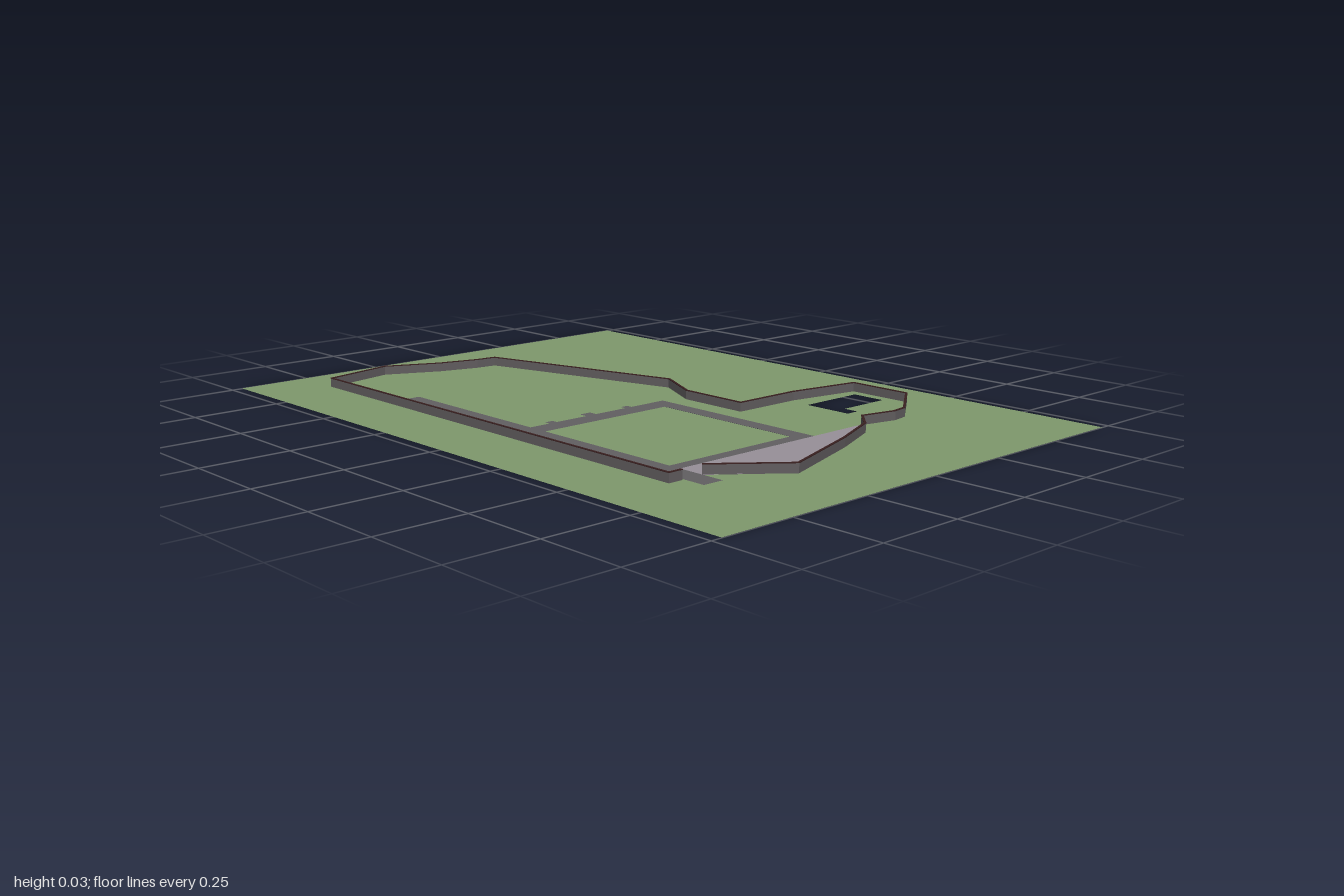
import * as THREE from 'three';

const GROUND_Y = 0.001, PAVING_Y = 0.002, WALL_TOP = 0.028;

// Plan outlines are [x, z]; shapes are drawn in (x, -z) and laid flat.
const toPoints = (outline) => outline.map(([x, z]) => new THREE.Vector2(x, -z));
const rect = (x0, x1, z0, z1) => [[x0, z0], [x0, z1], [x1, z1], [x1, z0]];

function addMesh(parent, name, geometry, color) {
  const material = new THREE.MeshStandardMaterial({ color, side: THREE.DoubleSide });
  const mesh = new THREE.Mesh(geometry, material);
  mesh.name = name;
  parent.add(mesh);
}

function flat(outline, y, holes = []) {
  const shape = new THREE.Shape(toPoints(outline));
  shape.holes = holes.map((h) => new THREE.Path(toPoints(h)));
  return new THREE.ShapeGeometry(shape).rotateX(-Math.PI / 2).translate(0, y, 0);
}

// Mitred strip of constant width along an open path, raised from y0 to y1
function strip(path, width, y0, y1) {
  const pts = toPoints(path);
  const normals = pts.slice(1).map((p, i) => {
    const d = p.clone().sub(pts[i]).normalize();
    return new THREE.Vector2(-d.y, d.x);
  });
  const offsets = pts.map((p, i) => {
    const a = normals[Math.max(i - 1, 0)], b = normals[Math.min(i, normals.length - 1)];
    const m = a.clone().add(b).normalize();
    return m.multiplyScalar(width / 2 / m.dot(a));
  });
  const left = pts.map((p, i) => p.clone().add(offsets[i]));
  const right = pts.map((p, i) => p.clone().sub(offsets[i])).reverse();
  const shape = new THREE.Shape([...left, ...right]);
  return new THREE.ExtrudeGeometry(shape, { depth: y1 - y0, bevelEnabled: false })
    .rotateX(-Math.PI / 2).translate(0, y0, 0);
}

export function createModel() {
  const model = new THREE.Group();
  model.name = 'walledSite';

  const forecourt = [[-0.405, 0.545], [0.272, 0.547], [0.21, 0.608], [0.05, 0.674], [-0.222, 0.764], [-0.405, 0.62]];
  const pit = [[0.345, 0.287], [0.345, 0.435], [0.385, 0.435], [0.385, 0.39], [0.55, 0.39], [0.55, 0.287]];
  const wideRoad = rect(-0.51, -0.403, -0.545, 0.222);

  // Lawn, cut out at the pit and beneath the deeper paved areas
  addMesh(model, 'lawn', flat(rect(-0.72, 0.72, -1, 1), GROUND_Y,
    [pit, wideRoad, rect(0.032, 0.078, 0.03, 0.54), forecourt]), 0x7f996c);

  // Roads and paths around the inner court
  const roads = new THREE.Group();
  roads.name = 'roads';
  model.add(roads);
  const paving = {
    wideRoad,
    gateRoad: rect(-0.465, -0.403, 0.222, 0.69),
    backPath: rect(-0.403, 0.08, -0.03, 0.032),
    sidePath: rect(0.03, 0.08, 0.032, 0.547),
    frontPath: rect(-0.403, 0.03, 0.508, 0.547),
  };
  for (const [name, outline] of Object.entries(paving)) addMesh(roads, name, flat(outline, PAVING_Y), 0x626062);

  // Small steps projecting from the back path
  for (const [x, w, z] of [[-0.325, 0.026, -0.049], [-0.19, 0.036, -0.056], [-0.052, 0.024, -0.048]]) {
    addMesh(roads, 'step', flat(rect(x - w / 2, x + w / 2, z, -0.03), PAVING_Y), 0x626062);
  }

  addMesh(model, 'forecourt', flat(forecourt, PAVING_Y), 0x989099);

  // Boundary wall, open where the gate road passes through
  const wallPath = [
    [-0.468, 0.619], [-0.51, 0.619], [-0.51, -0.84], [-0.295, -0.884], [-0.14, -0.811], [-0.02, -0.777],
    [0.043, -0.77], [0.22, -0.15], [0.147, 0], [0.147, 0.215], [0.36, 0.217], [0.582, 0.255],
    [0.582, 0.45], [0.43, 0.563], [0.38, 0.571], [0.272, 0.547], [0.21, 0.608], [0.05, 0.674],
    [-0.222, 0.764], [-0.4, 0.617],
  ];
  addMesh(model, 'boundaryWall', strip(wallPath, 0.005, 0, WALL_TOP - 0.002), 0x625e60);
  addMesh(model, 'wallCoping', strip(wallPath, 0.007, WALL_TOP - 0.002, WALL_TOP), 0x3a2020);

  return model;
}
